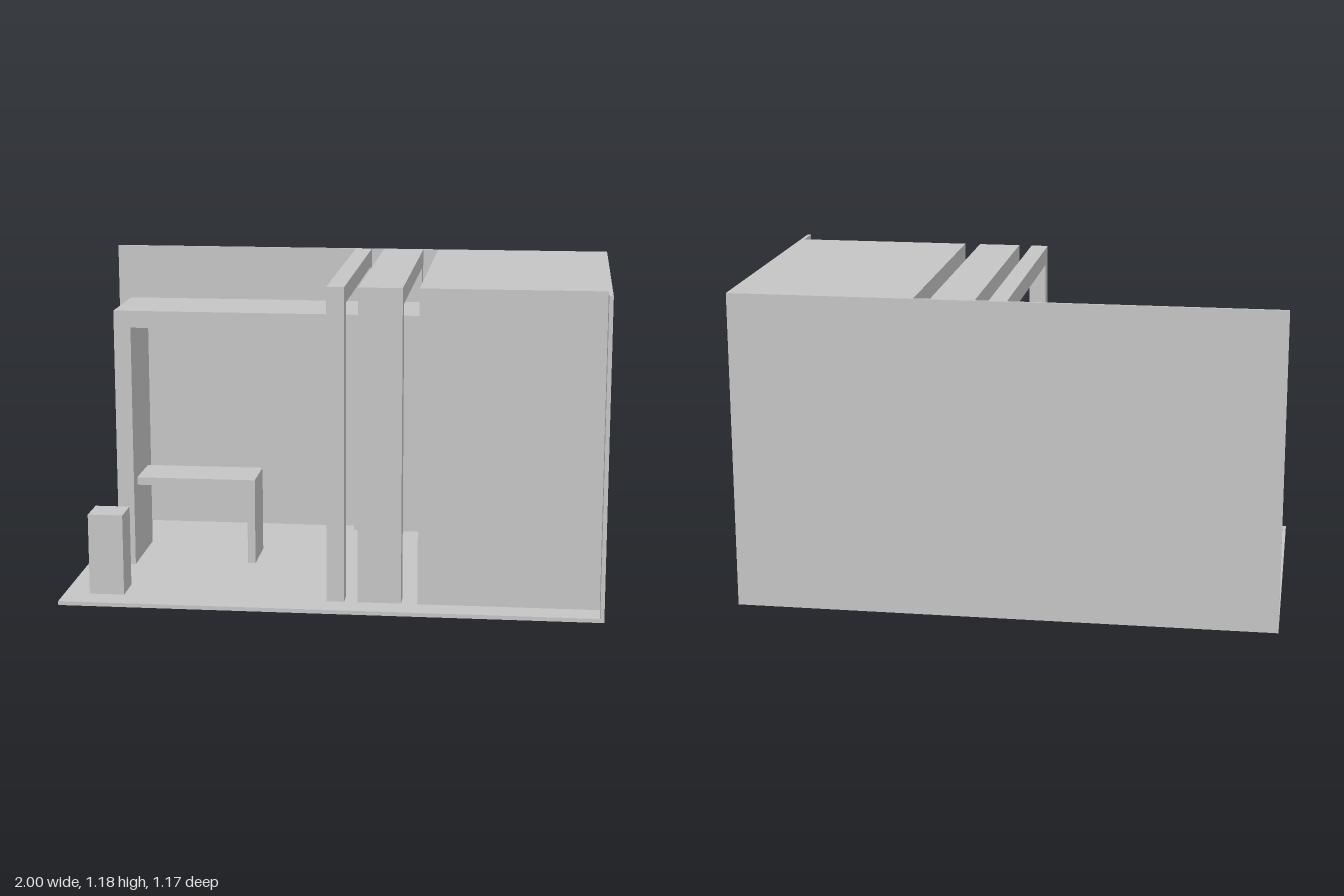
import * as THREE from 'three';

export function createModel() {
  const group = new THREE.Group();
  const grey = new THREE.MeshStandardMaterial({ color: 0xc4c4c4 });
  grey.name = 'lightGrey';

  const H = 1.185, D = 0.584, T = 0.015; // height, half depth, panel thickness
  const BACK = -D + 0.01, FRONT = 0.48;  // depth range of the room and portals

  // Box given by its minimum and maximum corners
  function block(name, [x0, y0, z0], [x1, y1, z1], parent = group) {
    const mesh = new THREE.Mesh(new THREE.BoxGeometry(x1 - x0, y1 - y0, z1 - z0), grey);
    mesh.position.set((x0 + x1) / 2, (y0 + y1) / 2, (z0 + z1) / 2);
    mesh.name = name;
    parent.add(mesh);
    return mesh;
  }

  // Floor and the two outer walls
  block('floor', [-1, 0, -D], [1, T, D]);
  block('backWall', [-1, 0, -D], [1, H, BACK]);
  block('sideWall', [1 - T, 0, -D], [1, H, D]);

  // Closed store room
  block('storeRoom', [0.32, T, BACK], [1 - T, H, FRONT]);

  // Open portal frames running front to back
  function portal(name, x0, x1) {
    const t = 0.065;
    const outline = [
      [BACK, T], [BACK + t, T], [BACK + t, H - t], [FRONT - t, H - t],
      [FRONT - t, T], [FRONT, T], [FRONT, H], [BACK, H],
    ].map(([z, y]) => new THREE.Vector2(-z, y));
    const geo = new THREE.ExtrudeGeometry(new THREE.Shape(outline), { depth: x1 - x0, bevelEnabled: false });
    geo.rotateY(Math.PI / 2);
    const mesh = new THREE.Mesh(geo, grey);
    mesh.position.x = x0;
    mesh.name = name;
    group.add(mesh);
  }
  portal('narrowPortal', -0.015, 0.05);
  portal('widePortal', 0.1, 0.26);

  // Arch: one leg and a beam passing through the portals to the store room
  const arch = new THREE.Group();
  arch.name = 'arch';
  group.add(arch);
  block('archLeg', [-0.88, T, -0.25], [-0.815, 0.955, 0.08], arch);
  block('archBeam', [-0.88, 0.955, -0.25], [0.32, 1.02, 0.08], arch);

  // Table fixed to the arch leg
  const table = new THREE.Group();
  table.name = 'table';
  group.add(table);
  block('tableTop', [-0.815, 0.32, -0.19], [-0.35, 0.35, 0.017], table);
  block('tableLeg', [-0.38, T, -0.19], [-0.35, 0.32, 0.017], table);

  // Small display plinth at the front corner
  block('plinth', [-0.905, T, 0.35], [-0.775, 0.32, 0.48]);

  return group;
}
